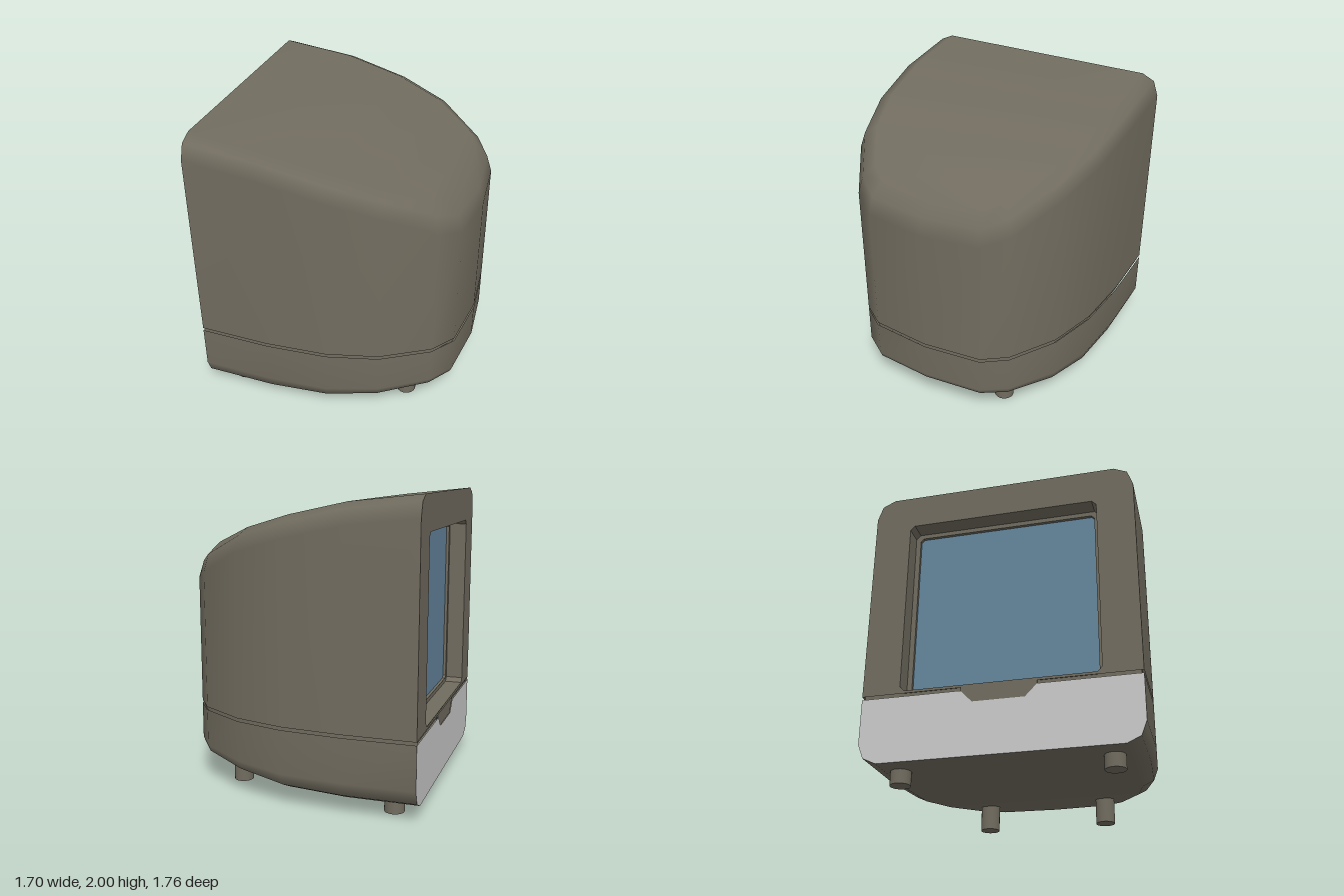
import * as THREE from 'three';

const FRONT = -0.85; // the screen face lies in this x plane
const bodyMat = new THREE.MeshStandardMaterial({ color: 0x716c5f, side: THREE.DoubleSide });
const panelMat = new THREE.MeshStandardMaterial({ color: 0xcccccc });
const screenMat = new THREE.MeshStandardMaterial({ color: 0x65869d });

// Plan outline [x, z] of one half, mirrored across z
const half = [[FRONT, 0.88], [-0.37, 0.88], [0.04, 0.845], [0.38, 0.75], [0.69, 0.56], [0.805, 0.4]];
const outline = [...half, [0.845, 0], ...half.map(([x, z]) => [x, -z]).reverse()];
const N = outline.length;

// Inward direction at each outline point; the open end only moves along z
const inward = outline.map((p, i) => {
  if (i === 0 || i === N - 1) return [0, -Math.sign(p[1])];
  const a = outline[i - 1], b = outline[i + 1];
  const tx = b[0] - a[0], tz = b[1] - a[1], l = Math.hypot(tx, tz);
  return [tz / l, -tx / l];
});

// Piecewise linear height curves along x
function lerpCurve(knots, x) {
  for (let i = 1; i < knots.length; i++) {
    const [x0, y0] = knots[i - 1], [x1, y1] = knots[i];
    if (x <= x1 || i === knots.length - 1) return y0 + (y1 - y0) * (x - x0) / (x1 - x0);
  }
}
const roofY = x => lerpCurve([[FRONT, 2], [-0.37, 1.95], [0.04, 1.86], [0.38, 1.76], [0.62, 1.655], [0.725, 1.58], [0.85, 1.53]], x);
const floorY = x => lerpCurve([[FRONT, 0.09], [-0.37, 0.09], [0.04, 0.11], [0.38, 0.16], [0.85, 0.225]], x);
const edgeScale = x => 1 - 0.65 * THREE.MathUtils.clamp((x + 0.2) / 1.05, 0, 1);

// Wall swept round the outline; each row is [inset(x), y(x)], listed upwards
function shell(rows, cap) {
  const pos = [], idx = [];
  for (const [inset, y] of rows) {
    outline.forEach(([x, z], i) => {
      const d = inset(x);
      const px = x + inward[i][0] * d;
      pos.push(px, y(px), z + inward[i][1] * d);
    });
  }
  for (let k = 0; k < rows.length - 1; k++) {
    for (let i = 0; i < N - 1; i++) {
      const a = k * N + i, b = a + 1, c = b + N, d = a + N;
      idx.push(a, b, c, a, c, d);
    }
  }
  // Cap strips join the mirrored points
  const base = cap === 'top' ? (rows.length - 1) * N : 0;
  for (let i = 0; cap && i < (N - 1) / 2; i++) {
    const a = base + i, b = a + 1, c = base + N - 2 - i, d = base + N - 1 - i;
    const tris = b === c ? [a, b, d] : [a, b, c, a, c, d];
    idx.push(...(cap === 'top' ? tris : tris.reverse()));
  }
  const g = new THREE.BufferGeometry();
  g.setAttribute('position', new THREE.Float32BufferAttribute(pos, 3));
  g.setIndex(idx);
  g.computeVertexNormals();
  return g;
}

// Symmetric closed shape from half-profile points [z, y]
function mirrored(pts, extra = []) {
  const all = [...pts, ...pts.map(([z, y]) => [-z, y]).reverse(), ...extra];
  return new THREE.Shape(all.map(([z, y]) => new THREE.Vector2(z, y)));
}

// Rectangle with clipped corners
function opening(w, y0, y1, c) {
  return mirrored([[w - c, y0], [w, y0 + c], [w, y1 - c], [w - c, y1]]);
}

export function createModel() {
  const model = new THREE.Group();
  const add = (name, geo, mat) => {
    const m = new THREE.Mesh(geo, mat);
    m.name = name;
    model.add(m);
    return m;
  };
  // Flat or extruded shape facing -x, with its back at the given depth
  const addFacing = (name, shape, mat, depth, thick = 0) => {
    const geo = thick
      ? new THREE.ExtrudeGeometry(shape, { depth: thick, bevelEnabled: false })
      : new THREE.ShapeGeometry(shape);
    const m = add(name, geo, mat);
    m.rotation.y = -Math.PI / 2;
    m.position.x = FRONT + depth;
  };

  // Upper housing with rounded roof edge
  add('housing', shell([
    [() => 0, () => 0.535],
    [() => 0, x => roofY(x) - 0.14],
    [() => 0.035, x => roofY(x) - 0.04],
    [() => 0.12, x => roofY(x)],
  ], 'top'), bodyMat);

  // Base with rounded underside
  add('base', shell([
    [x => 0.12 * edgeScale(x), floorY],
    [x => 0.035 * edgeScale(x), x => floorY(x) + 0.04 * edgeScale(x)],
    [() => 0, x => floorY(x) + 0.13 * edgeScale(x)],
    [() => 0, () => 0.515],
  ], 'bottom'), bodyMat);

  // Recessed seam between housing and base
  add('seam', shell([[() => 0.014, () => 0.5], [() => 0.014, () => 0.55]]), bodyMat);
  add('seamFront', new THREE.BoxGeometry(0.02, 0.04, 1.73), bodyMat).position.set(FRONT + 0.024, 0.525, 0);

  // Bezel face, recess walls, inner frame and screen
  const bezel = mirrored([[0.88, 0.535], [0.88, 1.86], [0.845, 1.96], [0.76, 2]]);
  bezel.holes.push(opening(0.635, 0.553, 1.77, 0.03));
  addFacing('bezel', bezel, bodyMat, 0);

  const recess = opening(0.65, 0.54, 1.785, 0.03);
  recess.holes.push(opening(0.635, 0.553, 1.77, 0.03));
  addFacing('screenRecess', recess, bodyMat, 0.122, 0.12);

  const frame = opening(0.65, 0.54, 1.785, 0.03);
  frame.holes.push(opening(0.602, 0.583, 1.74, 0.02));
  addFacing('screenFrame', frame, bodyMat, 0.142, 0.022);
  addFacing('screen', opening(0.62, 0.565, 1.755, 0.02), screenMat, 0.14);

  // Lower front panel with a notch that takes the tab
  const notch = [[-0.24, 0.515], [-0.165, 0.437], [0.165, 0.437], [0.24, 0.515]];
  addFacing('frontPanel', mirrored([[0.76, 0.09], [0.845, 0.13], [0.88, 0.22], [0.88, 0.515]].reverse(), notch),
    panelMat, 0);
  addFacing('frontTab', mirrored([[0.165, 0.437], [0.24, 0.515], [0.24, 0.54]]), bodyMat, 0.02, 0.017);

  // Feet, longer at the rear
  for (const s of [1, -1]) {
    for (const [name, x, z, h] of [['frontFoot', -0.665, 0.665, 0.12], ['rearFoot', 0.485, 0.42, 0.22]]) {
      add(name, new THREE.CylinderGeometry(0.066, 0.066, h, 20), bodyMat).position.set(x, h / 2, s * z);
    }
  }
  return model;
}
